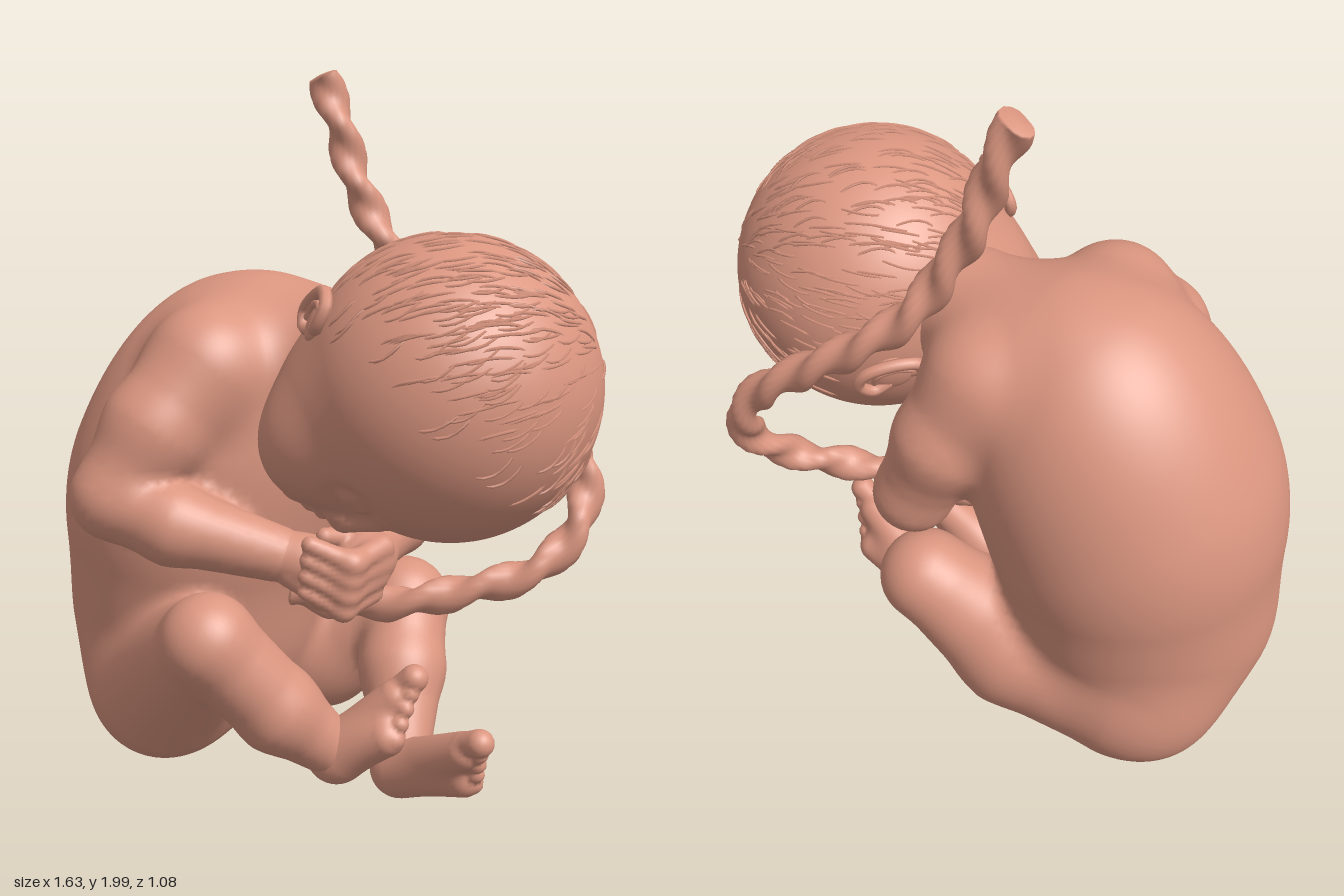
import * as THREE from 'three';
import { mergeGeometries } from 'three/addons/utils/BufferGeometryUtils.js';

const V = (x, y, z) => new THREE.Vector3(x, y, z);
const skin = new THREE.MeshStandardMaterial({ color: 0xdb9680, side: THREE.DoubleSide });

// ---- soft volumes: each returns a distance function (x, y, z) ----
const smin = (a, b, k) => {
  const h = Math.max(k - Math.abs(a - b), 0) / k;
  return Math.min(a, b) - h * h * k / 4;
};
const ball = (x0, y0, z0, rx, ry = rx, rz = rx) => (x, y, z) => {
  const a = (x - x0) / rx, b = (y - y0) / ry, c = (z - z0) / rz;
  const k0 = Math.hypot(a, b, c), k1 = Math.hypot(a / rx, b / ry, c / rz);
  return k1 < 1e-6 ? -Math.min(rx, ry, rz) : k0 * (k0 - 1) / k1;
};
const cone = ([ax, ay, az, ar], [bx, by, bz, br]) => {
  const dx = bx - ax, dy = by - ay, dz = bz - az, l = dx * dx + dy * dy + dz * dz;
  return (x, y, z) => {
    const px = x - ax, py = y - ay, pz = z - az;
    const h = Math.min(1, Math.max(0, (px * dx + py * dy + pz * dz) / l));
    return Math.hypot(px - dx * h, py - dy * h, pz - dz * h) - ar - (br - ar) * h;
  };
};
const blend = (k, ...parts) => (x, y, z) => {
  let d = parts[0](x, y, z);
  for (let i = 1; i < parts.length; i++) d = smin(d, parts[i](x, y, z), k);
  return d;
};
const carve = (k, base, cut) => (x, y, z) => -smin(-base(x, y, z), cut(x, y, z), k);
const limb = (...pts) => blend(0.03, ...pts.slice(1).map((p, i) => cone(pts[i], p)));

const slope = (f, p, e = 0.003) => V(
  f(p.x + e, p.y, p.z) - f(p.x - e, p.y, p.z),
  f(p.x, p.y + e, p.z) - f(p.x, p.y - e, p.z),
  f(p.x, p.y, p.z + e) - f(p.x, p.y, p.z - e)).normalize();
const onto = (f, p, steps = 5) => {
  for (let i = 0; i < steps; i++) p.addScaledVector(slope(f, p), -f(p.x, p.y, p.z));
  return p;
};

// Skins a set of named volumes with one continuous surface, one mesh per name
function skinVolumes(parts, k, lo, hi, h) {
  const names = Object.keys(parts), f = blend(k, ...Object.values(parts));
  const n = lo.map((v, i) => Math.ceil((hi[i] - v) / h) + 1);
  const step = [1, n[0], n[0] * n[1]], val = new Float32Array(n[0] * n[1] * n[2]);
  const each = (start, fn) => {
    for (let z = start; z < n[2] - 1; z++) for (let y = start; y < n[1] - 1; y++)
      for (let x = start; x < n[0] - 1; x++) fn(x, y, z, x + y * step[1] + z * step[2]);
  };
  for (let z = 0, i = 0; z < n[2]; z++) for (let y = 0; y < n[1]; y++)
    for (let x = 0; x < n[0]; x++) val[i++] = f(lo[0] + x * h, lo[1] + y * h, lo[2] + z * h);

  const cell = new Map();
  each(0, (x, y, z, i) => {
    const sum = V(0, 0, 0);
    let count = 0;
    for (let c = 0; c < 8; c++) for (let a = 0; a < 3; a++) {
      if (c >> a & 1) continue;
      const o = [c & 1, c >> 1 & 1, c >> 2 & 1];
      const j = i + o[0] + o[1] * step[1] + o[2] * step[2], v0 = val[j], v1 = val[j + step[a]];
      if ((v0 < 0) === (v1 < 0)) continue;
      o[a] += v0 / (v0 - v1);
      sum.add(V(...o));
      count++;
    }
    if (!count) return;
    const p = sum.divideScalar(count).add(V(x, y, z)).multiplyScalar(h).add(V(...lo));
    onto(f, p, 1);
    cell.set(i, { p, n: slope(f, p) });
  });
  const out = names.map(() => ({ pos: [], nor: [] }));
  each(1, (x, y, z, i) => {
    for (let a = 0; a < 3; a++) {
      const inside = val[i] < 0;
      if (inside === (val[i + step[a]] < 0)) continue;
      const b = step[(a + 1) % 3], c = step[(a + 2) % 3];
      const q = [i - b - c, i - c, i, i - b].map(j => cell.get(j));
      if (!inside) q.reverse();
      const m = q[0].p, d = names.map(s => parts[s](m.x, m.y, m.z));
      const o = out[d.indexOf(Math.min(...d))];
      for (const t of [0, 1, 2, 0, 2, 3]) {
        o.pos.push(...q[t].p.toArray());
        o.nor.push(...q[t].n.toArray());
      }
    }
  });
  return out.map((o, i) => {
    const g = new THREE.BufferGeometry();
    g.setAttribute('position', new THREE.Float32BufferAttribute(o.pos, 3));
    g.setAttribute('normal', new THREE.Float32BufferAttribute(o.nor, 3));
    return named(names[i], g);
  });
}
function named(name, geometry) {
  const m = new THREE.Mesh(geometry, skin);
  m.name = name;
  return m;
}

// ---- curled body: back to -x, belly to +x ----
function makeBody() {
  const torso = blend(0.12,
    ball(-0.40, 0.72, -0.12, 0.405, 0.46, 0.41), ball(-0.35, 0.9, -0.12, 0.385, 0.4, 0.395),
    ball(-0.27, 1.06, -0.12, 0.36, 0.385, 0.36), ball(-0.43, 0.42, -0.12, 0.37, 0.32, 0.35),
    ball(-0.475, 0.225, 0.02, 0.215), ball(-0.475, 0.225, -0.27, 0.215),
    ball(-0.24, 1.23, 0.14, 0.15), ball(0, 1.2, -0.24, 0.15),
    cone([-0.14, 1.23, -0.1, 0.18], [0.2, 1.25, 0.02, 0.165]));
  return skinVolumes({
    torso,
    rightArm: limb([-0.25, 1.22, 0.17, 0.155], [-0.34, 1.07, 0.28, 0.145], [-0.425, 0.9, 0.36, 0.115],
      [-0.25, 0.84, 0.36, 0.105], [0.01, 0.77, 0.28, 0.075]),
    leftArm: limb([0, 1.2, -0.25, 0.15], [0.09, 1.03, -0.31, 0.135], [0.18, 0.83, -0.31, 0.105],
      [0.2, 0.78, -0.1, 0.095], [0.21, 0.76, 0.09, 0.072]),
    rightLeg: limb([-0.42, 0.28, 0.1, 0.215], [-0.13, 0.55, 0.41, 0.122], [0.02, 0.34, 0.3, 0.115],
      [0.14, 0.2, 0.2, 0.075]),
    leftLeg: limb([-0.4, 0.25, -0.27, 0.225], [-0.1, 0.31, -0.28, 0.19], [0.17, 0.48, -0.27, 0.125],
      [0.22, 0.33, -0.12, 0.12], [0.28, 0.14, 0.04, 0.078]),
  }, 0.05, [-0.9, -0.05, -0.64], [0.44, 1.54, 0.62], 0.023);
}

// ---- hands folded under the chin ----
function makeHands() {
  const right = [limb([0.0, 0.77, 0.28, 0.072], [0.09, 0.75, 0.26, 0.068], [0.14, 0.73, 0.24, 0.06])];
  const left = [limb([0.21, 0.76, 0.08, 0.072], [0.215, 0.75, 0.16, 0.074], [0.2, 0.73, 0.21, 0.065])];
  for (let i = 0; i < 4; i++) {
    const y = 0.8 - 0.043 * i, s = i === 3 ? 0.85 : 1;
    right.push(limb([0.12, y - 0.02, 0.27, 0.028 * s], [0.19, y - 0.04, 0.24, 0.026 * s], [0.2, y - 0.05, 0.17, 0.022 * s]));
    left.push(limb([0.265 - 0.008 * i, y - 0.01, 0.18, 0.034 * s], [0.225 - 0.008 * i, y - 0.03, 0.285, 0.03 * s],
      [0.125 - 0.005 * i, y + 0.02, 0.325, 0.024 * s]));
  }
  right.push(limb([0.06, 0.72, 0.3, 0.032], [0.13, 0.67, 0.29, 0.024]));
  left.push(limb([0.2, 0.79, 0.13, 0.034], [0.13, 0.82, 0.24, 0.024]));
  const make = (name, list) => skinVolumes({ [name]: blend(0.014, ...list) }, 0.01, [-0.1, 0.54, -0.02], [0.34, 0.9, 0.42], 0.011);
  return [...make('rightHand', right), ...make('leftHand', left)];
}

// ---- foot: heel to ball, with five toes spread along w, big toe first ----
function makeFoot(name, heel, front, w) {
  const dir = front.clone().sub(heel).normalize();
  const at = (t, d, r) => [...front.clone().addScaledVector(w, t).addScaledVector(dir, d).toArray(), r];
  const h = [...heel.toArray(), 0.076];
  const pad = blend(0.04, cone(h, at(0.055, 0, 0.052)), cone(h, at(-0.05, -0.015, 0.052)));
  const toes = [0, 1, 2, 3, 4].map(i => {
    const t = 0.08 - 0.039 * i, r = i ? 0.028 - 0.0015 * i : 0.038;
    return limb(at(t, 0.01, r * 0.85), at(t, 0.065 - 0.01 * i, r));
  });
  const c = heel.clone().add(front).multiplyScalar(0.5).toArray();
  return skinVolumes({ [name]: blend(0.01, pad, ...toes) }, 0.01, c.map(v => v - 0.26), c.map(v => v + 0.26), 0.011);
}

// ---- head: crown towards +x, face looking down ----
const faceDir = V(-0.31, -0.88, 0.36).normalize(), crownDir = V(0.905, -0.214, 0.256).normalize();
const sideDir = V(-0.16, 0.4, 0.9).normalize();
function makeHead() {
  const base = blend(0.09, ball(0.43, 1.22, 0.138, 0.388, 0.392, 0.386), ball(0.18, 1.13, 0.17, 0.21, 0.23, 0.25),
    ball(0.11, 1.07, 0.27, 0.13), ball(0.19, 0.99, 0.08, 0.12));
  const rel = (u, s, d) => { // point on the face: u towards the crown, s to the side, d outwards
    const p = onto(base, V(0.19, 0.9, 0.24).addScaledVector(crownDir, u).addScaledVector(sideDir, s));
    return p.addScaledVector(slope(base, p), d);
  };
  const pt = (u, s, d, r) => [...rel(u, s, d).toArray(), r];
  let head = base;
  for (const s of [0.14, -0.12]) { // closed eyes in shallow sockets
    head = carve(0.05, head, cone(pt(0.1, s - 0.025, 0.045, 0.062), pt(0.1, s + 0.025, 0.045, 0.058)));
    head = blend(0.025, head, cone(pt(0.09, s - 0.025, -0.034, 0.037), pt(0.09, s + 0.025, -0.034, 0.037)));
  }
  head = blend(0.03, head, cone(pt(0.1, 0, -0.005, 0.022), pt(0, 0, 0.015, 0.036)),
    ball(...pt(-0.01, 0.035, 0, 0.026)), ball(...pt(-0.01, -0.035, 0, 0.026)), ball(...pt(-0.17, 0, -0.02, 0.065)));
  for (const u of [-0.065, -0.105]) // lips
    head = blend(0.012, head, limb(pt(u, 0.055, -0.01, 0.014), pt(u, 0, 0.008, 0.02), pt(u, -0.055, -0.01, 0.014)));
  const parts = skinVolumes({ head }, 0.01, [-0.12, 0.72, -0.32], [0.9, 1.7, 0.62], 0.015);

  // ears
  const ear = (name, p) => {
    onto(base, p);
    const n = slope(base, p), flat = v => v.clone().addScaledVector(n, -v.dot(n)).normalize();
    const back = flat(faceDir).negate(), up = flat(crownDir);
    const rim = pts => new THREE.CatmullRomCurve3(pts.map(([a, b, d]) =>
      p.clone().addScaledVector(back, a).addScaledVector(up, b).addScaledVector(n, d)));
    const outer = rim([[-0.03, 0.02, 0], [-0.025, 0.07, 0.012], [0.025, 0.09, 0.02], [0.06, 0.05, 0.028],
      [0.05, -0.03, 0.026], [0.012, -0.085, 0.018], [-0.025, -0.075, 0.004], [-0.03, -0.035, -0.01]]);
    const inner = rim([[0, 0.055, 0.01], [0.03, 0.025, 0.02], [0.025, -0.025, 0.02], [-0.005, -0.055, 0.012]]);
    const bowl = new THREE.SphereGeometry(1, 20, 12).scale(0.055, 0.06, 0.018)
      .applyQuaternion(new THREE.Quaternion().setFromUnitVectors(V(0, 0, 1), n)).translate(p.x, p.y, p.z);
    parts.push(named(name, mergeGeometries([bowl, new THREE.TubeGeometry(outer, 36, 0.017, 8),
      new THREE.TubeGeometry(inner, 16, 0.01, 8)])));
  };
  ear('rightEar', V(0.165, 1.395, 0.31));
  ear('leftEar', V(0.27, 1.13, -0.2));

  // fine hair swirling away from a whorl
  let seed = 7;
  const rnd = () => (seed = (seed * 16807) % 2147483647) / 2147483647;
  const strands = [], whorl = V(0.8, 1.32, 0), scalp = crownDir.clone().multiplyScalar(0.4).addScaledVector(faceDir, -0.85);
  while (strands.length < 400) {
    const d = V(rnd() * 2 - 1, rnd() * 2 - 1, rnd() * 2 - 1).normalize();
    if (d.dot(scalp) < rnd() * 0.4 - 0.05 || d.x < -0.65) continue;
    const p = onto(base, V(0.43, 1.22, 0.138).addScaledVector(d, 0.39)), pts = [], sway = rnd() - 0.3;
    for (let i = 0; i < 5; i++) {
      const n = slope(base, p), away = p.clone().sub(whorl).normalize();
      pts.push(p.clone().addScaledVector(n, i % 4 ? 0.002 : -0.004));
      const t = n.clone().cross(away).multiplyScalar(sway * Math.cos(i * 0.7)).add(away);
      onto(base, p.addScaledVector(t.addScaledVector(n, -t.dot(n)).normalize(), 0.028), 2);
    }
    strands.push(new THREE.TubeGeometry(new THREE.CatmullRomCurve3(pts), 5, 0.004, 4));
  }
  parts.push(named('hair', mergeGeometries(strands)));
  return parts;
}

// ---- twisted cord looping from the belly behind the head ----
function makeCord() {
  const path = new THREE.CatmullRomCurve3([[-0.05, 0.57, 0.02], [0.12, 0.56, 0.02], [0.3, 0.59, 0.01], [0.45, 0.63, -0.04],
    [0.6, 0.68, -0.1], [0.69, 0.78, -0.18], [0.7, 0.9, -0.25], [0.63, 1.04, -0.29], [0.48, 1.17, -0.32], [0.3, 1.3, -0.33],
    [0.16, 1.42, -0.31], [0.08, 1.55, -0.29], [0, 1.7, -0.29], [-0.04, 1.83, -0.29], [-0.1, 1.98, -0.295]].map(p => V(...p)));
  const N = 260, R = 16, fr = path.computeFrenetFrames(N, false), pos = [], idx = [];
  for (let i = 0; i <= N; i++) {
    const c = path.getPointAt(i / N);
    for (let j = 0; j < R; j++) {
      const a = j / R * Math.PI * 2, r = 0.042 * (1 + 0.25 * Math.cos(2 * a - i / N * 88));
      pos.push(...c.clone().addScaledVector(fr.normals[i], -Math.cos(a) * r).addScaledVector(fr.binormals[i], Math.sin(a) * r).toArray());
      const k = (j + 1) % R, s = i * R, t = s + R;
      if (i < N) idx.push(s + j, t + j, s + k, t + j, t + k, s + k);
    }
  }
  const end = pos.length / 3;
  pos.push(...path.getPointAt(0).toArray(), ...path.getPointAt(1).toArray());
  for (let j = 0; j < R; j++) {
    const k = (j + 1) % R;
    idx.push(end, j, k, end + 1, N * R + k, N * R + j);
  }
  const g = new THREE.BufferGeometry();
  g.setAttribute('position', new THREE.Float32BufferAttribute(pos, 3));
  g.setIndex(idx);
  g.computeVertexNormals();
  return named('cord', g);
}

export function createModel() {
  const model = new THREE.Group();
  model.name = 'curledInfant';
  model.add(...makeBody(), ...makeHands(), ...makeHead(), makeCord(),
    ...makeFoot('rightFoot', V(0.145, 0.19, 0.19), V(0.31, 0.325, 0.2), V(-0.05, 0.8, -0.5)),
    ...makeFoot('leftFoot', V(0.28, 0.11, 0.05), V(0.5, 0.2, 0.15), V(0.02, 0.95, 0.45)));
  return model;
}
